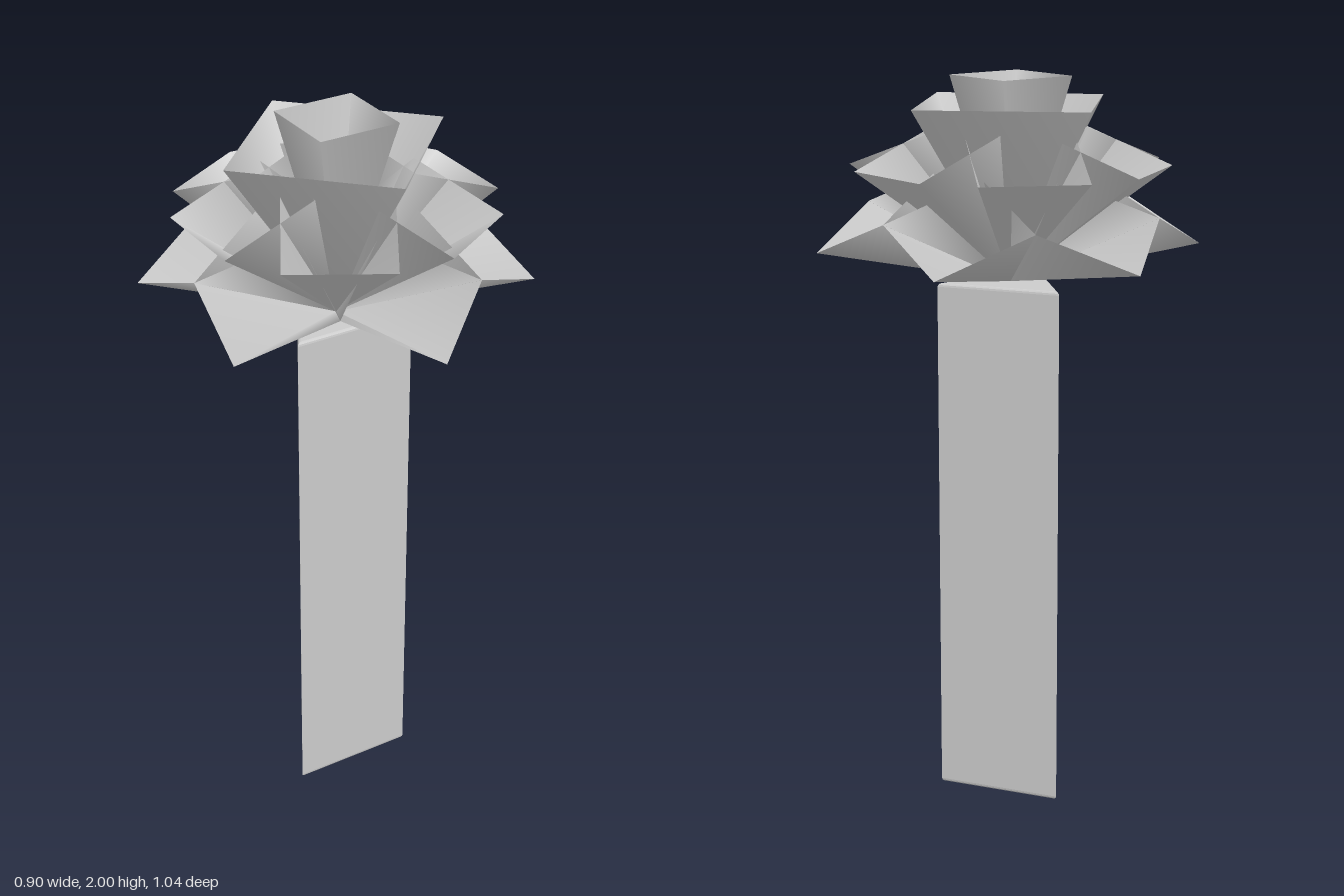
import * as THREE from 'three';

const BASE = 1.45; // height where the stem ends and all petals meet

export function createModel() {
  const model = new THREE.Group();
  model.name = 'flower';
  const stemMat = new THREE.MeshStandardMaterial({ color: 0xcccccc });
  const petalMat = new THREE.MeshStandardMaterial({ color: 0xcccccc, side: THREE.DoubleSide });

  // Three-sided stem with a flat front and softened ends
  const R = 0.187, bevel = 0.01;
  const tri = new THREE.Shape([0, 1, 2].map(i => {
    const a = Math.PI / 2 + i * Math.PI * 2 / 3;
    return new THREE.Vector2(R * Math.cos(a), R * Math.sin(a));
  }));
  const stemGeo = new THREE.ExtrudeGeometry(tri, {
    depth: BASE - 2 * bevel, bevelEnabled: true,
    bevelSize: bevel, bevelThickness: bevel, bevelSegments: 3,
  });
  stemGeo.rotateX(-Math.PI / 2).translate(0, bevel, 0);
  const stem = new THREE.Mesh(stemGeo, stemMat);
  stem.name = 'stem';
  stem.position.x = -0.003;
  model.add(stem);

  // Open four-sided cup, apex at the origin. The rim centre lies at (out, up),
  // its radial half-size is (spread, -drop) and its sideways half-size is wide.
  // A square cup turns its edges outward, otherwise its corners point outward.
  function cup({ out = 0, up, spread, drop = 0, wide, square }) {
    const geo = new THREE.ConeGeometry(square ? Math.SQRT2 : 1, 1, 4, 1, true);
    geo.rotateX(Math.PI).translate(0, 0.5, 0);
    if (square) geo.rotateY(Math.PI / 4);
    return geo.applyMatrix4(new THREE.Matrix4().makeBasis(
      new THREE.Vector3(spread, -drop, 0),
      new THREE.Vector3(out, up, 0),
      new THREE.Vector3(0, 0, wide)));
  }

  function ring(name, count, startAngle, geo) {
    const group = new THREE.Group();
    group.name = name;
    group.position.y = BASE;
    for (let i = 0; i < count; i++) {
      const petal = new THREE.Mesh(geo, petalMat);
      petal.name = name + 'Petal';
      petal.rotation.y = startAngle + i * Math.PI * 2 / count;
      group.add(petal);
    }
    model.add(group);
  }

  // Petal layers from the outside in
  ring('outer', 6, Math.PI / 6, cup({ out: 0.361, up: 0.195, spread: 0.159, drop: 0.105, wide: 0.2085 }));
  ring('middle', 6, 0, cup({ out: 0.2765, up: 0.365, spread: 0.1285, drop: 0.05, wide: 0.143, square: true }));
  ring('inner', 1, 0, cup({ up: 0.48, spread: 0.325, wide: 0.325 }));
  ring('centre', 1, 0, cup({ up: 0.55, spread: 0.115, wide: 0.115, square: true }));
  return model;
}
